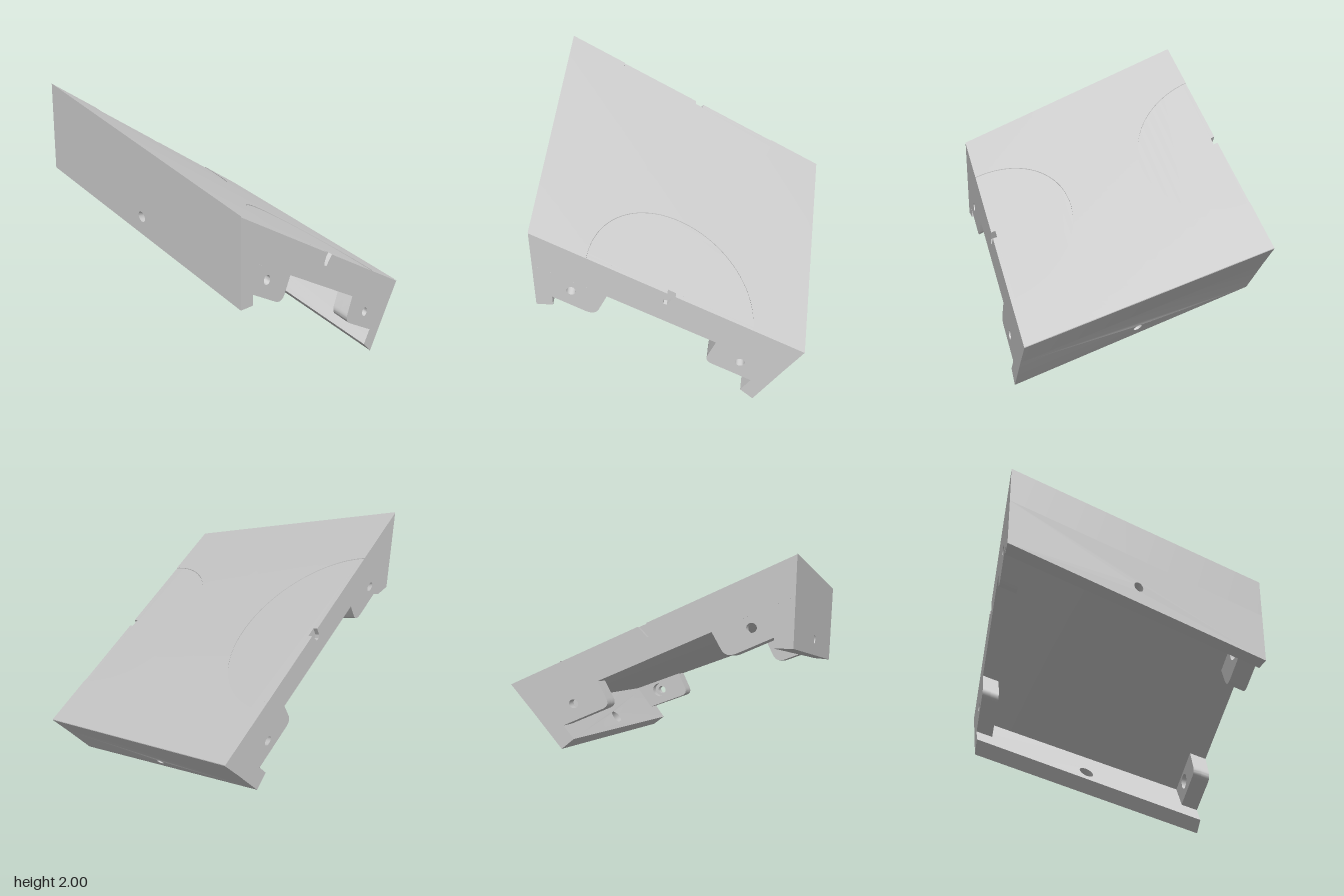
import * as THREE from 'three';
import { toCreasedNormals } from 'three/addons/utils/BufferGeometryUtils.js';

const HALF = 0.86;      // half depth of the cover
const SKIN = 0.006;     // depth of the shallow round recesses
const WALL = 0.12;      // tab thickness
const material = new THREE.MeshStandardMaterial({ color: 0xcccccc });

// Front section is swept to the back while rising and widening slightly
function sweep(x, y, z) {
  const t = (HALF - z) / (2 * HALF), d = x + 0.97;
  return [x + t * 0.049 * d, y + t * (0.65 - 0.084 * d), z];
}
const topY = x => 1.35 - 0.4783 * (x + 0.97);
const underY = x => 0.632 - 0.474 * x;

function mapVertices(geometry, rule) {
  const p = geometry.attributes.position;
  for (let i = 0; i < p.count; i++) p.setXYZ(i, ...rule(p.getX(i), p.getY(i), p.getZ(i)));
  return toCreasedNormals(geometry, 0.5);
}

function polygon(points) {
  return new THREE.Shape(points.map(p => new THREE.Vector2(...p)));
}

function addHole(shape, x, y, r) {
  shape.holes.push(new THREE.Path().absarc(x, y, r, 0, Math.PI * 2, true));
  return shape;
}

function addMesh(group, name, geometry) {
  const mesh = new THREE.Mesh(geometry, material);
  mesh.name = name;
  group.add(mesh);
}

// Section shape extruded between two depths, then swept
function prism(shape, z0, z1, steps = 1) {
  const near = Math.min(z0, z1);
  const g = new THREE.ExtrudeGeometry(shape, {
    depth: Math.abs(z1 - z0), steps, bevelEnabled: false, curveSegments: 10,
  });
  return mapVertices(g, (x, y, z) => sweep(x, y, z + near));
}

function slabShape(notched) {
  const pts = [[-0.97, topY(-0.97) - SKIN], [-0.97, 1.092], [0.735, 0.283], [0.87, 0.47 - SKIN]];
  if (notched) {
    pts.push([-0.015, topY(-0.015) - SKIN], [-0.05, 0.85], [-0.075, 0.82],
      [-0.097, 0.825], [-0.1, 0.85], [-0.07, topY(-0.07) - SKIN]);
  }
  return polygon(pts);
}

// Left-hand and right-hand screw tabs with rounded free corners
function outerTab() {
  const s = new THREE.Shape();
  s.moveTo(-0.855, underY(-0.855));
  s.lineTo(-0.855, 0.83);
  s.lineTo(-0.64, 0.725);
  s.quadraticCurveTo(-0.57, 0.69, -0.54, 0.745);
  s.lineTo(-0.48, underY(-0.48));
  return s;
}
function lowerTab() {
  const s = new THREE.Shape();
  s.moveTo(0.26, underY(0.26));
  s.lineTo(0.205, 0.39);
  s.quadraticCurveTo(0.18, 0.335, 0.235, 0.31);
  s.lineTo(0.51, 0.177);
  s.lineTo(0.625, underY(0.625));
  return s;
}

// End lip: a pierced strip laid between inner and outer section edges
function endLip(side, edges, height, holeS, r, w0, w1) {
  const shape = addHole(polygon([[-HALF, 0], [HALF, 0], [HALF, height], [-HALF, height]]), 0.01, holeS, r);
  const g = new THREE.ExtrudeGeometry(shape, { depth: w1 - w0, bevelEnabled: false, curveSegments: 10 });
  const mix = THREE.MathUtils.lerp;
  const [ib, it, ob, ot] = edges;
  return mapVertices(g, (u, s, w) => {
    const k = s / height, d = w + w0;
    const x = mix(mix(ib[0], it[0], k), mix(ob[0], ot[0], k), d);
    const y = mix(mix(ib[1], it[1], k), mix(ob[1], ot[1], k), d);
    return sweep(x, y, -side * u);
  });
}

// Half of the top skin, in a fan around the round recess
function topSkin(sgn) {
  const cx = -0.045, right = 0.87 - cx, left = cx + 0.97;
  const angles = [Math.atan2(HALF, right), Math.PI - Math.atan2(HALF, left)];
  for (let i = 0; i <= 64; i++) angles.push(i * Math.PI / 64);
  angles.sort((a, b) => a - b);
  const rows = 10, pos = [], index = [];
  for (const a of angles) {
    const c = Math.cos(a), s = Math.sin(a);
    const border = Math.min((c > 0 ? right : left) / Math.max(Math.abs(c), 1e-6), HALF / Math.max(s, 1e-6));
    const inner = 1 / Math.hypot(c / 0.555, s / 0.58);
    for (let j = 0; j <= rows; j++) {
      const k = THREE.MathUtils.clamp((j - 1) / (rows - 2), 0, 1);
      const r = THREE.MathUtils.lerp(inner, border, k);
      const x = cx + r * c, drop = j === 0 || j === rows ? SKIN : 0;
      pos.push(...sweep(x, topY(x) - drop, sgn * (HALF - r * s)));
    }
  }
  for (let i = 0; i < angles.length - 1; i++) {
    for (let j = 0; j < rows; j++) {
      const a = i * (rows + 1) + j, b = a + 1, d = a + rows + 1, c = d + 1;
      if (sgn > 0) index.push(a, b, c, a, c, d);
      else index.push(a, c, b, a, d, c);
    }
  }
  const g = new THREE.BufferGeometry();
  g.setAttribute('position', new THREE.Float32BufferAttribute(pos, 3));
  g.setIndex(index);
  return toCreasedNormals(g, 0.5);
}

export function createModel() {
  const group = new THREE.Group();
  group.name = 'slantedCover';

  // Thick sloping slab, with notched layers at the front and back faces
  const inset = HALF - 0.03;
  addMesh(group, 'slab', prism(slabShape(false), -inset, inset, 24));

  for (const sgn of [1, -1]) {
    const end = sgn > 0 ? 'front' : 'back';
    addMesh(group, end + 'NotchedFace', prism(slabShape(true), sgn * inset, sgn * HALF));
    addMesh(group, end + 'TopSkin', topSkin(sgn));

    // Screw tabs, counterbored from the inside
    for (const [name, tab, x, y] of [['UpperTab', outerTab, -0.72, 0.89], ['LowerTab', lowerTab, 0.43, 0.34]]) {
      const mid = HALF - WALL / 2;
      addMesh(group, end + name, prism(addHole(tab(), x, y, 0.032), sgn * mid, sgn * HALF));
      addMesh(group, end + name + 'Bore', prism(addHole(tab(), x, y, 0.058), sgn * (HALF - WALL), sgn * mid));
    }
  }

  // Lips hanging from the two ends, each with a counterbored hole
  const lips = [
    ['lowEndLip', 1, [[0.44, 0.08], [0.625, 0.336], [0.53, 0], [0.735, 0.283]], 0.33, 0.1],
    ['highEndLip', -1, [[-0.855, 0.76], [-0.855, 1.037], [-0.97, 0.76], [-0.97, 1.092]], 0.31, 0.11],
  ];
  for (const [name, side, edges, height, s] of lips) {
    addMesh(group, name, endLip(side, edges, height, s, 0.03, 0.5, 1));
    addMesh(group, name + 'Bore', endLip(side, edges, height, s, 0.052, 0, 0.5));
  }
  return group;
}
